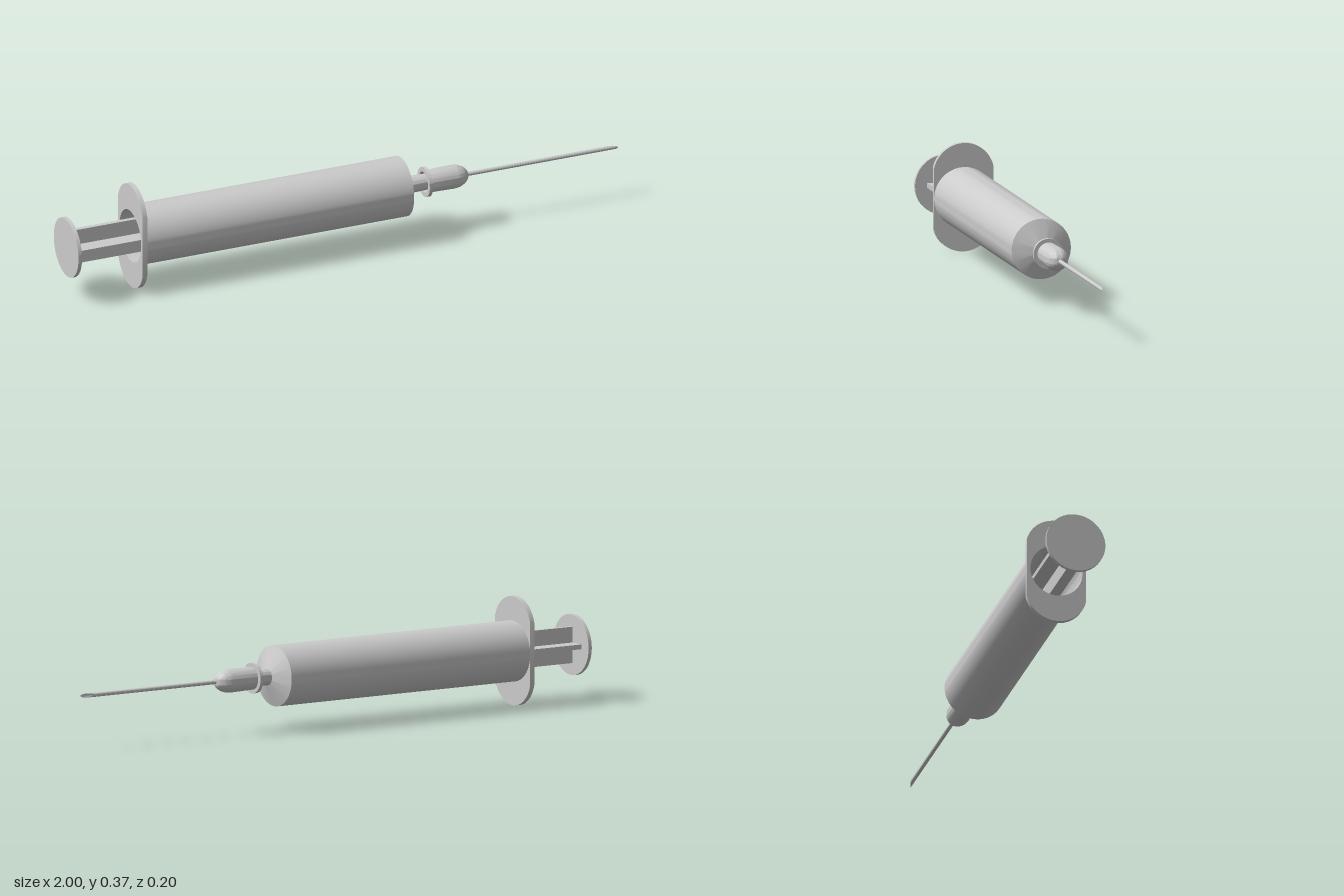
import * as THREE from 'three';
import { toCreasedNormals } from 'three/addons/utils/BufferGeometryUtils.js';

const AXIS_Y = 0.183;
const material = new THREE.MeshStandardMaterial({ color: 0xcccccc, side: THREE.DoubleSide });

function part(name, geometry) {
  const mesh = new THREE.Mesh(geometry, material);
  mesh.name = name;
  return mesh;
}

// Solid of revolution along the x axis from [x, radius] pairs
function turned(name, profile, segments = 64) {
  const points = profile.map(([x, r]) => new THREE.Vector2(r, x));
  const geometry = new THREE.LatheGeometry(points, segments).rotateZ(-Math.PI / 2);
  return part(name, toCreasedNormals(geometry, 0.5));
}

// Finger flange: rounded plate with a hole for the plunger
function fingerFlange() {
  const r = 0.105, half = 0.102, top = 0.183;
  const cy = top - r;
  const a = Math.acos(half / r);
  const shape = new THREE.Shape();
  shape.absarc(0, cy, r, a, Math.PI - a, false);
  shape.absarc(0, -cy, r, Math.PI + a, 2 * Math.PI - a, false);
  shape.closePath();
  const hole = new THREE.Path();
  hole.absarc(0, 0, 0.09, 0, Math.PI * 2, true);
  shape.holes.push(hole);
  const geometry = new THREE.ExtrudeGeometry(shape, { depth: 0.017, bevelEnabled: false, curveSegments: 40 });
  geometry.rotateY(Math.PI / 2).translate(-0.767, 0, 0);
  return part('fingerFlange', toCreasedNormals(geometry, 0.5));
}

// Hollow needle whose open end is cut on a slant
function needle() {
  const r = 0.007, bore = 0.004, end = 1, bevel = 0.05;
  const mesh = turned('needle', [[0.44, bore], [0.44, r], [end, r], [end, bore], [0.44, bore]], 24);
  const pos = mesh.geometry.attributes.position;
  for (let i = 0; i < pos.count; i++) {
    if (pos.getX(i) > 0.9) pos.setX(i, end - bevel * (r - pos.getZ(i)) / (2 * r));
  }
  mesh.geometry = toCreasedNormals(mesh.geometry, 0.5);
  return mesh;
}

export function createModel() {
  const syringe = new THREE.Group();
  syringe.name = 'syringe';
  const body = new THREE.Group();
  body.name = 'body';
  body.position.y = AXIS_Y;
  syringe.add(body);

  // Hollow barrel with conical shoulder and nozzle
  body.add(turned('barrel', [
    [-0.76, 0.09], [-0.76, 0.102], [0.218, 0.102], [0.247, 0.029], [0.34, 0.026],
    [0.34, 0.015], [0.24, 0.015], [0.212, 0.09], [-0.76, 0.09],
  ]));
  body.add(fingerFlange());

  // Needle hub: collar, open socket and rounded nose
  const nose = [];
  for (let i = 0; i <= 12; i++) {
    const t = (i / 12) * Math.PI / 2;
    nose.push([0.4 + 0.057 * Math.sin(t), Math.max(0.04 * Math.cos(t), 0.001)]);
  }
  body.add(turned('needleHub', [
    [0.38, 0.001], [0.38, 0.033], [0.297, 0.036], [0.297, 0.051], [0.309, 0.051], [0.309, 0.038], ...nose,
  ]));
  body.add(needle());

  // Plunger: thumb disc, crossed ribs and seal
  const plunger = new THREE.Group();
  plunger.name = 'plunger';
  plunger.add(turned('thumbDisc', [[-1, 0], [-1, 0.102], [-0.987, 0.102], [-0.987, 0]]));
  const ribStart = -0.99, ribEnd = 0.13;
  for (const [name, h, d] of [['uprightRib', 0.122, 0.016], ['levelRib', 0.016, 0.122]]) {
    const rib = part(name, new THREE.BoxGeometry(ribEnd - ribStart, h, d));
    rib.position.x = (ribStart + ribEnd) / 2;
    plunger.add(rib);
  }
  plunger.add(turned('plungerSeal', [[0.12, 0], [0.12, 0.089], [0.19, 0.089], [0.21, 0]]));
  body.add(plunger);

  return syringe;
}
